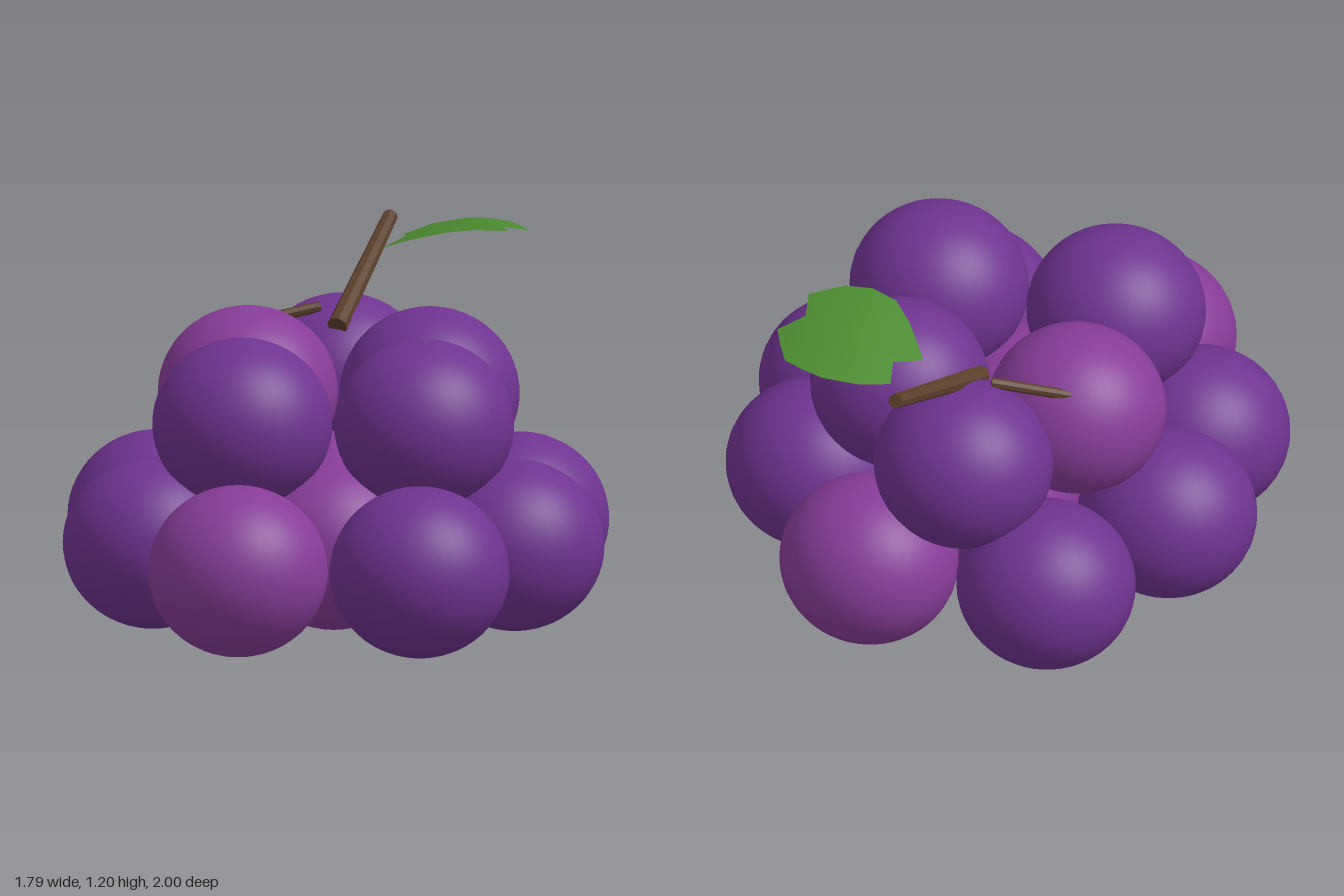
import * as THREE from 'three';

const mat = (color, extra = {}) => {
  const m = new THREE.MeshStandardMaterial(extra);
  m.color.set(color);
  return m;
};

// tapered rod between two points
function rod(name, from, to, r0, r1, material) {
  const a = new THREE.Vector3(...from), b = new THREE.Vector3(...to);
  const dir = b.clone().sub(a);
  const mesh = new THREE.Mesh(new THREE.CylinderGeometry(r1, r0, dir.length(), 8), material);
  mesh.position.copy(a).add(b).multiplyScalar(0.5);
  mesh.quaternion.setFromUnitVectors(new THREE.Vector3(0, 1, 0), dir.normalize());
  mesh.name = name;
  return mesh;
}

// curved blade: the jagged outline shrunk in rings toward its middle
function leafGeometry() {
  const outline = [
    [0.125, -0.675], [0.21, -0.75], [0.195, -0.85], [0.29, -0.91], [0.41, -0.925],
    [0.48, -0.9], [0.55, -0.86], [0.58, -0.795], [0.615, -0.7], [0.535, -0.635],
    [0.55, -0.525], [0.44, -0.47], [0.35, -0.455], [0.265, -0.475], [0.2, -0.55]
  ];
  const cx = 0.38, cz = -0.69, rings = 5, n = outline.length;
  const height = (x, z) => 1.187 - 0.8 * (x - 0.45) ** 2 + 0.1 * (z + 0.69);
  const pos = [cx, height(cx, cz), cz], index = [];
  for (let r = 1; r <= rings; r++) {
    outline.forEach(([ox, oz], i) => {
      const x = cx + (ox - cx) * r / rings, z = cz + (oz - cz) * r / rings;
      pos.push(x, height(x, z), z);
      const j = (i + 1) % n, a = 1 + (r - 1) * n + i, b = 1 + (r - 1) * n + j;
      if (r === 1) index.push(0, b, a);
      else index.push(a - n, b, a, a - n, b - n, b);
    });
  }
  const g = new THREE.BufferGeometry();
  g.setAttribute('position', new THREE.Float32BufferAttribute(pos, 3));
  g.setIndex(index);
  g.computeVertexNormals();
  return g;
}

export function createModel() {
  const group = new THREE.Group();
  const purple = mat(0x6f3390), plum = mat(0x873c98);
  const brown = mat(0x5c402c, { flatShading: true });
  const green = mat(0x4a8a30, { side: THREE.DoubleSide });

  // berries: x, y, z, and 1 for the lighter colour
  const berries = [
    [-0.3, 0.29, 0.715, 1], [0.3, 0.29, 0.715, 0],
    [-0.3, 0.29, -0.715, 0], [0.3, 0.29, -0.715, 1],
    [0, 0.675, -0.633, 0],
    [-0.3, 0.7, -0.28, 1], [0.3, 0.7, -0.28, 0],
    [-0.3, 0.7, 0.28, 0], [0.3, 0.7, 0.28, 0]
  ];
  for (const z of [-0.235, 0.235]) {
    for (const x of [-0.597, 0, 0.597]) berries.push([x, 0.29, z, x === 0 ? 1 : 0]);
  }
  const ball = new THREE.SphereGeometry(1, 40, 28);
  berries.forEach(([x, y, z, light], i) => {
    const berry = new THREE.Mesh(ball, light ? plum : purple);
    berry.scale.set(0.297, 0.284, 0.284);
    berry.position.set(x, y, z);
    berry.name = `berry${i + 1}`;
    group.add(berry);
  });

  // woody stem and side twig
  group.add(rod('stem', [-0.01, 0.89, -0.43], [0.147, 1.155, -0.985], 0.034, 0.025, brown));
  group.add(rod('twig', [-0.34, 0.885, -0.465], [-0.07, 0.938, -0.525], 0.018, 0.018, brown));

  const leaf = new THREE.Mesh(leafGeometry(), green);
  leaf.name = 'leaf';
  group.add(leaf);
  return group;
}
